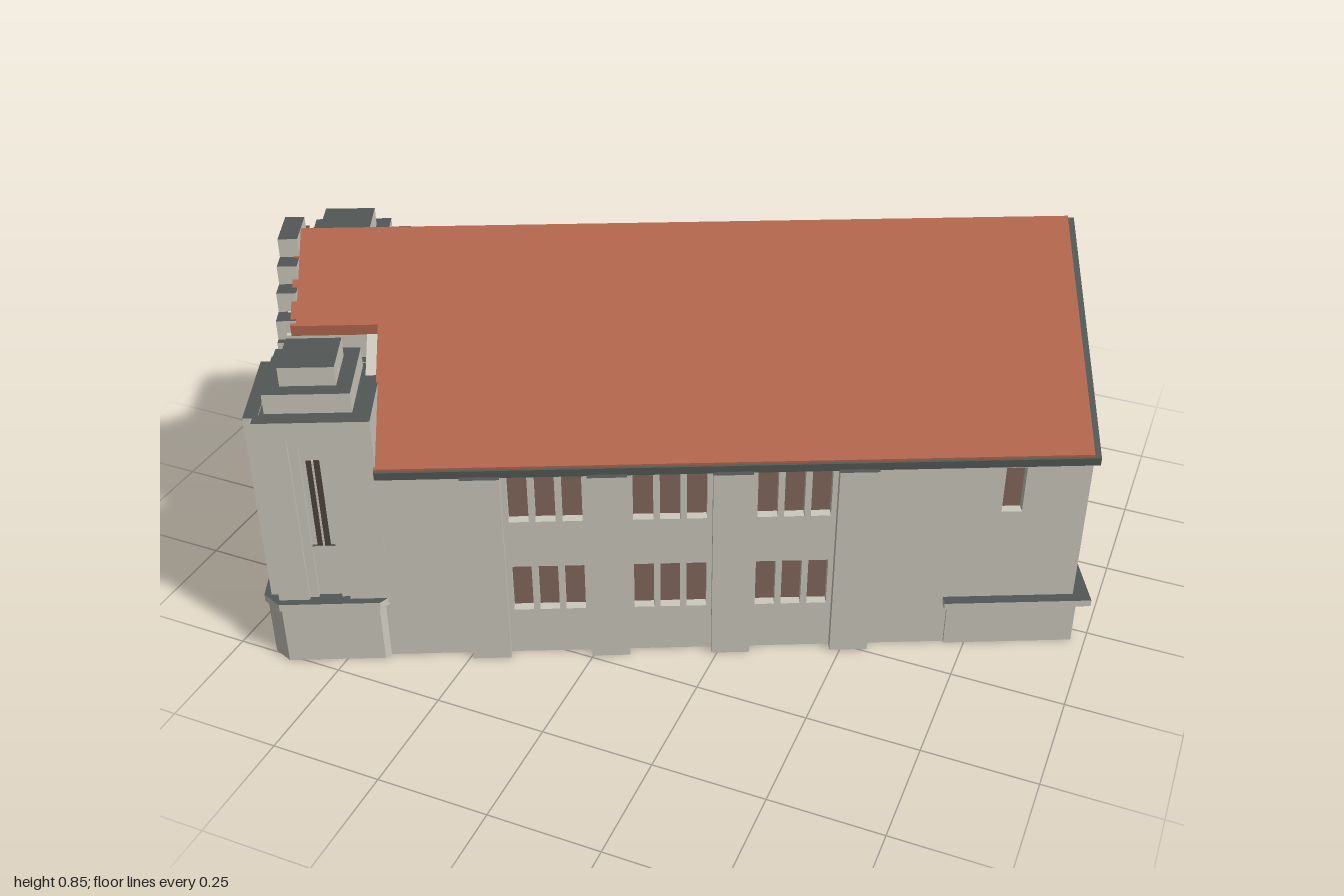
import * as THREE from 'three';

const mat = (name, color) => {
  const m = new THREE.MeshStandardMaterial({ color });
  m.name = name;
  return m;
};

export function createModel() {
  const stone = mat('stone', 0xccc8bd);
  const slate = mat('slate', 0x525855);
  const tile = mat('roofTile', 0xb1664c);
  const shutter = mat('windowBrown', 0x84695d);
  const glass = mat('darkGlass', 0x4c433d);
  const capped = [stone, stone, slate, stone, stone, stone]; // slate on top faces

  const model = new THREE.Group();
  model.name = 'hall';
  const body = new THREE.Group(); // local x runs along the ridge, -x is the entrance
  body.name = 'building';
  body.rotation.y = THREE.MathUtils.degToRad(24.4);
  model.add(body);

  const put = (name, geo, material, parent = body) => {
    const m = new THREE.Mesh(geo, material);
    m.name = name;
    parent.add(m);
    return m;
  };
  // Box from its lower and upper limits on each axis
  const box = (name, x0, x1, y0, y1, z0, z1, material = capped, parent = body) => {
    const g = new THREE.BoxGeometry(x1 - x0, y1 - y0, z1 - z0);
    g.translate((x0 + x1) / 2, (y0 + y1) / 2, (z0 + z1) / 2);
    return put(name, g, material, parent);
  };
  const shapeOf = pts => new THREE.Shape(pts.map(p => new THREE.Vector2(p[0], p[1])));
  // Cross-section (z, y) drawn out along the ridge from x0 to x1
  const along = (name, shape, x0, x1, material) => {
    const g = new THREE.ExtrudeGeometry(shape, { depth: x1 - x0, bevelEnabled: false, curveSegments: 20 });
    g.rotateY(Math.PI / 2).translate(x0, 0, 0);
    return put(name, g, material);
  };
  // Plan outline (x, z) raised from y0 to y1, slate on the top cap only
  const raise = (name, pts, y0, y1, parent = body, sides = stone) => {
    const g = new THREE.ExtrudeGeometry(shapeOf(pts.map(p => [p[0], -p[1]])), { depth: y1 - y0, bevelEnabled: false });
    const [caps, walls] = g.groups;
    g.clearGroups();
    g.addGroup(0, caps.count / 2, 1);
    g.addGroup(caps.count / 2, caps.count / 2, 0);
    g.addGroup(walls.start, walls.count, 1);
    g.rotateX(-Math.PI / 2).translate(0, y0, 0);
    return put(name, g, [slate, sides], parent);
  };

  // Roof and wall cross-sections
  const SLOPE = 0.776;
  const gable = (h, top) => shapeOf([[-h, 0], [h, 0], [h, top - SLOPE * h], [0, top], [-h, top - SLOPE * h]]);
  const chevron = (h, top, t) => shapeOf([
    [-h, top - SLOPE * h], [-h, top - SLOPE * h - t], [0, top - t],
    [h, top - SLOPE * h - t], [h, top - SLOPE * h], [0, top]]);

  // Main hall
  along('hallCore', gable(0.404, 0.822), -0.67, 0.842, stone);
  along('frontNave', gable(0.18, 0.822), -0.84, -0.67, stone);
  along('roofEdge', chevron(0.437, 0.84, 0.018), -0.645, 0.871, slate);
  along('roofTiles', chevron(0.434, 0.845, 0.006), -0.645, 0.857, tile);
  along('frontRoofTiles', chevron(0.18, 0.845, 0.024), -0.83, -0.645, tile);

  // Rear gable wall with a stepped recess
  const rear = gable(0.428, 0.823);
  const steps = [[0.24, 0.585], [0.205, 0.63], [0.165, 0.665], [0.13, 0.695], [0.09, 0.72], [0.05, 0.742]];
  const side = [[0.24, 0.12]];
  steps.forEach(([h, y], i) => {
    side.push([h, y]);
    if (i < steps.length - 1) side.push([steps[i + 1][0], y]);
  });
  const outline = [...side, ...side.slice().reverse().map(([h, y]) => [-h, y])];
  rear.holes.push(new THREE.Path(outline.map(p => new THREE.Vector2(p[0], p[1]))));
  along('rearGable', rear, 0.842, 0.859, stone);
  box('gableSlit', 0.838, 0.846, 0.665, 0.735, -0.007, 0.007, glass);

  // Round window
  const ring = new THREE.Shape().absarc(0, 0.44, 0.068, 0, Math.PI * 2);
  ring.holes.push(new THREE.Path().absarc(0, 0.44, 0.05, 0, Math.PI * 2, true));
  along('roundWindowFrame', ring, 0.842, 0.861, stone);
  along('roundWindowGlass', new THREE.Shape().absarc(0, 0.44, 0.052, 0, Math.PI * 2), 0.84, 0.846, slate);

  // Rear plinth with ledge, and the polygonal bay
  box('rearPlinth', 0.58, 0.868, 0, 0.112, -0.434, 0.434);
  box('rearLedge', 0.57, 0.895, 0.112, 0.128, -0.452, 0.452);
  const bay = (s, out) => [[0.845, 0.16 * s], [0.885, 0.155 * s], [out, 0.1 * s],
    [out, -0.1 * s], [0.885, -0.155 * s], [0.845, -0.16 * s]];
  raise('rearBay', bay(1, 0.938), 0, 0.25);
  raise('bayRoof', bay(0.7, 0.915), 0.25, 0.273, body, slate);

  // Long sides, mirrored: a wall skin pierced by recessed windows
  const rows = [[0.12, 0.24], [0.36, 0.48]];
  const columns = [];
  for (let i = 0; i < 3; i++) for (let k = -1; k <= 1; k++)
    columns.push([-0.296 + i * 0.264 + k * 0.057, 0.0215, rows]);
  columns.push([0.698, 0.022, [[0.36, 0.475]]]);
  for (const s of [-1, 1]) {
    const sideBox = (name, x0, x1, y0, y1, d0, d1, m) =>
      box(name, x0, x1, y0, y1, Math.min(s * d0, s * d1), Math.max(s * d0, s * d1), m);
    const skin = (x0, x1, y0, y1) => sideBox('sideWall', x0, x1, y0, y1, 0.4, 0.428, stone);
    let x = -0.67;
    for (const [c, half, openings] of columns) {
      skin(x, c - half, 0, 0.494);
      let y = 0;
      for (const [y0, y1] of openings) {
        skin(c - half, c + half, y, y0);
        sideBox('sideWindow', c - half, c + half, y0, y1, 0.4, 0.407, shutter);
        y = y1;
      }
      skin(c - half, c + half, y, 0.494);
      x = c + half;
    }
    skin(x, 0.845, 0, 0.494);
    for (let i = 0; i < 4; i++) {
      const c = -0.428 + i * 0.264;
      sideBox('pilaster', c - 0.042, c + 0.042, 0, 0.486, 0.41, 0.449);
    }
    // Paired lights in the rear gable
    const z = s > 0 ? 0.346 : -0.337;
    box('gableWindow', 0.856, 0.863, 0.385, 0.485, z - 0.021, z + 0.021, glass);
    box('gableWindowMullion', 0.858, 0.866, 0.385, 0.485, z - 0.002, z + 0.002, shutter);
  }

  // Corner towers
  for (const s of [-1, 1]) {
    const t = new THREE.Group();
    t.name = s > 0 ? 'leftTower' : 'rightTower';
    t.position.set(-0.771, 0, s * 0.3);
    body.add(t);
    const oct = (h, c) => [[-h, h - c], [-h + c, h], [h - c, h], [h, h - c],
      [h, -h + c], [h - c, -h], [-h + c, -h], [-h, -h + c]];
    raise('towerBase', oct(0.14, 0.034), 0, 0.145, t);
    raise('towerBaseLedge', oct(0.146, 0.037), 0.145, 0.163, t);
    const block = (name, h, y0, y1) => box(name, -h, h, y0, y1, -h, h, capped, t);
    block('towerCore', 0.112, 0.15, 0.622);
    block('towerCapLower', 0.09, 0.62, 0.668);
    block('towerCapUpper', 0.058, 0.668, 0.712);
    const zc = s * 0.115;
    box('rearCorner', 0.1, 0.13, 0.15, 0.625, zc - 0.015, zc + 0.015, capped, t);
    for (let i = 0; i < 4; i++) {
      // Each face: stepped piers around a recessed slit window
      const f = new THREE.Group();
      f.name = 'towerFace';
      f.rotation.y = i * Math.PI / 2;
      t.add(f);
      const front = i === 3;
      const sill = front ? 0.2 : 0.3;
      for (const k of [-1, 1]) {
        box('pier', k * 0.077 - 0.033, k * 0.077 + 0.033, 0.15, 0.625, 0.1, 0.13, capped, f);
        box('innerPier', k * 0.035 - 0.01, k * 0.035 + 0.01, 0.15, 0.565, 0.1, 0.121, capped, f);
      }
      box('faceHead', -0.045, 0.045, 0.585, 0.625, 0.1, 0.13, capped, f);
      box('innerHead', -0.045, 0.045, 0.555, 0.586, 0.1, 0.121, capped, f);
      box('slitWindow', -0.014, 0.014, sill, 0.52, 0.107, 0.114, glass, f);
      box('slitMullion', -0.002, 0.002, sill, 0.52, 0.107, 0.117, stone, f);
      box('slitSill', -0.025, 0.025, sill - 0.02, sill, 0.107, 0.118, capped, f);
      if (front) box('baseWindow', -0.013, 0.013, 0.088, 0.135, 0.135, 0.142, glass, f);
    }
  }

  // Stepped entrance gable
  const tiers = [[0.19, 0, 0.67], [0.175, 0.67, 0.715], [0.135, 0.715, 0.76], [0.095, 0.76, 0.803], [0.052, 0.803, 0.846]];
  for (const [h, y0, y1] of tiers) box('gableStep', -0.86, -0.818, y0, y1, -h, h);
  box('frontPlinth', -0.872, -0.85, 0, 0.14, -0.17, 0.17);

  // Pointed windows with mullions above a balcony
  for (const [z, top] of [[-0.055, 0.55], [0, 0.6], [0.055, 0.55]]) {
    const lancet = shapeOf([[z - 0.014, 0.41], [z + 0.014, 0.41], [z + 0.014, top - 0.06], [z, top], [z - 0.014, top - 0.06]]);
    along('lancetWindow', lancet, -0.866, -0.859, glass);
  }
  for (const z of [-0.083, -0.0275, 0.0275, 0.083])
    box('lancetMullion', -0.876, -0.858, 0.4, Math.abs(z) < 0.05 ? 0.6 : 0.54, z - 0.007, z + 0.007);
  box('balcony', -0.893, -0.858, 0.385, 0.408, -0.135, 0.135, slate);
  box('balconyBracket', -0.878, -0.858, 0.365, 0.385, -0.1, 0.1);

  // Stepped portal with jambs
  for (const [h, y0, y1] of [[0.095, 0, 0.21], [0.065, 0.21, 0.25], [0.042, 0.25, 0.29], [0.02, 0.29, 0.33]])
    box('portalStep', -0.885, -0.855, y0, y1, -h, h);
  for (const k of [-1, 1]) box('doorJamb', -0.895, -0.88, 0, 0.185, k * 0.052 - 0.01, k * 0.052 + 0.01);
  box('doorStep', -0.905, -0.88, 0, 0.015, -0.08, 0.08);

  return model;
}
